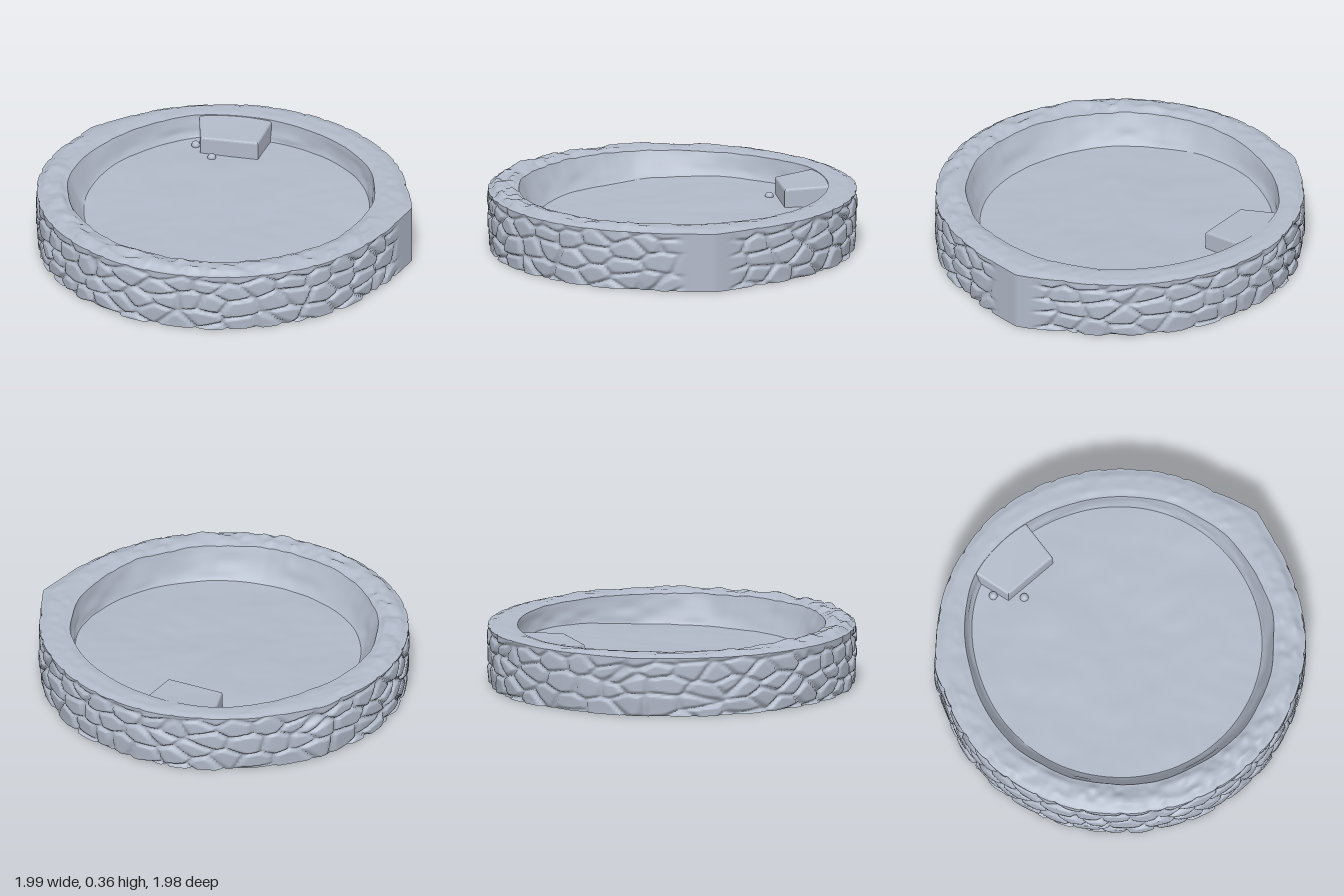
import * as THREE from 'three';

const TAU = Math.PI * 2;
const SEG = 400;
const stone = new THREE.MeshStandardMaterial({ color: 0xb1b9c8 });
stone.name = 'blue grey stone';

const { lerp, smoothstep } = THREE.MathUtils;

function hash(a, b, k) {
  const s = Math.sin(a * 127.1 + b * 311.7 + k * 74.7) * 43758.5453;
  return s - Math.floor(s);
}

// Smooth value noise in -1..1; u wraps after `period` cells
function noise(u, v, period, k) {
  const i = Math.floor(u), j = Math.floor(v);
  const fu = smoothstep(u - i, 0, 1), fv = smoothstep(v - j, 0, 1);
  const h = (a, b) => hash(((a % period) + period) % period, b, k);
  return 2 * lerp(lerp(h(i, j), h(i + 1, j), fu), lerp(h(i, j + 1), h(i + 1, j + 1), fu), fv) - 1;
}

// Irregular masonry: flat rounded stones (about 1) with narrow grooves (0)
function masonry(t, y) {
  const columns = 40, u = t / TAU * columns, v = y / 0.095;
  const i = Math.floor(u), j = Math.floor(v);
  let first = 9, second = 9, height = 0;
  for (let b = j - 2; b <= j + 2; b++) {
    for (let a = i - 2; a <= i + 2; a++) {
      const w = (a + columns) % columns;
      const du = a + 0.1 + 0.8 * hash(w, b, 1) + (b & 1) * 0.4 - u;
      const dv = b + 0.12 + 0.76 * hash(w, b, 2) - v;
      const d = Math.hypot(du * 0.9, dv);
      if (d < first) { second = first; first = d; height = hash(w, b, 3); }
      else if (d < second) second = d;
    }
  }
  return smoothstep(second - first, -0.04, 0.26) * (0.7 + 0.3 * height);
}

// Smooth flat buttress on the model's left side
const patch = t => smoothstep(t, 1.6, 1.72) * (1 - smoothstep(t, 1.92, 2.03));

function outerRadius(t) {
  let r = 0.986 + 0.006 * noise(t / TAU * 24, 0, 24, 5);
  if (t > 1.45 && t <= 1.853) r = lerp(r, 0.997 / Math.sin(t), smoothstep(t, 1.45, 1.6));
  if (t > 1.853 && t < 2.08) r = lerp(1.038, r, (t - 1.853) / 0.227);
  return r + 0.02 * Math.exp(-(((t - 4.36) / 0.1) ** 2));
}

// The basin widens a little around the ledge
const ledgeBulge = t => 0.04 * Math.exp(-(((t - 3.75) / 0.45) ** 2));
const innerRadius = t => 0.822 + ledgeBulge(t) + 0.007 * noise(t / TAU * 30, 0, 30, 6);

// Relief softens towards the top edge; the foot is drawn in slightly
function wallPoint(t, y) {
  const amount = 0.03 * (1 - patch(t)) * (1 - 0.65 * smoothstep(y, 0.26, 0.318));
  const foot = 0.008 * (1 - smoothstep(y, 0, 0.12)) * (1 - patch(t));
  return [outerRadius(t) + (masonry(t, y) - 0.75) * amount - foot, y];
}

// Rim rises towards the front, where it is also rougher
function rimPoint(t, v) {
  const front = (Math.cos(t) + 1) / 2;
  const edge = wallPoint(t, 0.318)[0];
  const inside = smoothstep(v, 0, 0.3) * (1 - 0.6 * smoothstep(v, 0.7, 1));
  const fine = noise(t / TAU * 120, v * 4, 120, 7) * 0.6 + noise(t / TAU * 60, v * 2.5, 60, 8) * 0.6;
  const rough = lerp(0.003, 0.018, front) * fine;
  return [lerp(edge, innerRadius(t), v), 0.318 + inside * (lerp(0.01, 0.026, front) + rough)];
}

// Floor circle sits a little towards the back of the basin
function floorRadius(t) {
  const offset = 0.012 * Math.sin(t) - 0.042 * Math.cos(t) + ledgeBulge(t);
  return Math.min(0.764 + offset, innerRadius(t) - 0.01);
}

// Slightly uneven floor, falling gently to the front
function floorHeight(x, z) {
  const uneven = 0.006 * noise(x * 5 + 20, z * 5, 1000, 9) + 0.002 * noise(x * 13 + 40, z * 13, 1000, 10);
  return 0.204 - 0.045 * smoothstep(z + 0.4 * x, -0.6, 0.9) + uneven;
}

// Hollow curve that is steep below the rim and eases onto the floor
function innerPoint(t, v) {
  const [r0, y0] = rimPoint(t, 1);
  const r1 = floorRadius(t);
  const y1 = floorHeight(r1 * Math.sin(t), r1 * Math.cos(t));
  const bump = Math.sin(v * Math.PI) * 0.007 * noise(t / TAU * 40, v * 3, 40, 11);
  return [lerp(r0, r1, v) + bump, lerp(y0, y1, Math.sin(v * Math.PI / 2) * 0.5 + v * 0.5)];
}

function floorPoint(t, v) {
  const r = floorRadius(t) * (1 - v);
  return [r, floorHeight(r * Math.sin(t), r * Math.cos(t))];
}

// Closed band of rings; pointAt(angle, 0..1) returns [radius, height]
function band(name, rows, pointAt) {
  const position = [], index = [];
  for (let j = 0; j <= rows; j++) {
    for (let i = 0; i < SEG; i++) {
      const t = i / SEG * TAU;
      const [r, y] = pointAt(t, j / rows);
      position.push(r * Math.sin(t), y, r * Math.cos(t));
      if (j === rows) continue;
      const a = j * SEG + i, b = j * SEG + (i + 1) % SEG;
      index.push(a, b, b + SEG, a, b + SEG, a + SEG);
    }
  }
  const geometry = new THREE.BufferGeometry();
  geometry.setAttribute('position', new THREE.Float32BufferAttribute(position, 3));
  geometry.setIndex(index);
  geometry.computeVertexNormals();
  const mesh = new THREE.Mesh(geometry, stone);
  mesh.name = name;
  return mesh;
}

// Square ledge stone whose back runs into the rim
function ledge() {
  const corners = [[-0.385, -0.545], [-0.095, -0.61], [-0.13, -0.86], [-0.49, -0.74]];
  const shape = new THREE.Shape(corners.map(([x, z]) => new THREE.Vector2(x, -z)));
  const geometry = new THREE.ExtrudeGeometry(shape, {
    depth: 0.12, bevelSize: 0.012, bevelThickness: 0.012, bevelSegments: 3,
  });
  geometry.rotateX(-Math.PI / 2).translate(0, 0.165, 0);
  const p = geometry.attributes.position;
  for (let i = 0; i < p.count; i++) {
    if (p.getY(i) > 0.25) p.setY(i, p.getY(i) + 0.022 * smoothstep(-p.getZ(i), 0.53, 0.75));
  }
  geometry.computeVertexNormals();
  const mesh = new THREE.Mesh(geometry, stone);
  mesh.name = 'ledgeStone';
  return mesh;
}

export function createModel() {
  const model = new THREE.Group();
  model.name = 'stoneBasin';
  model.add(
    band('underside', 1, (t, v) => [wallPoint(t, 0)[0] * v, 0]),
    band('masonryWall', 40, (t, v) => wallPoint(t, v * 0.318)),
    band('rim', 18, rimPoint),
    band('innerWall', 10, innerPoint),
    band('basinFloor', 24, floorPoint),
    ledge(),
  );

  // Loose pebbles beside the ledge
  for (const [x, z] of [[-0.45, -0.595], [-0.31, -0.505]]) {
    const pebble = new THREE.Mesh(new THREE.SphereGeometry(0.023, 16, 10), stone);
    pebble.name = 'pebble';
    pebble.position.set(x, 0.208, z);
    model.add(pebble);
  }
  return model;
}
